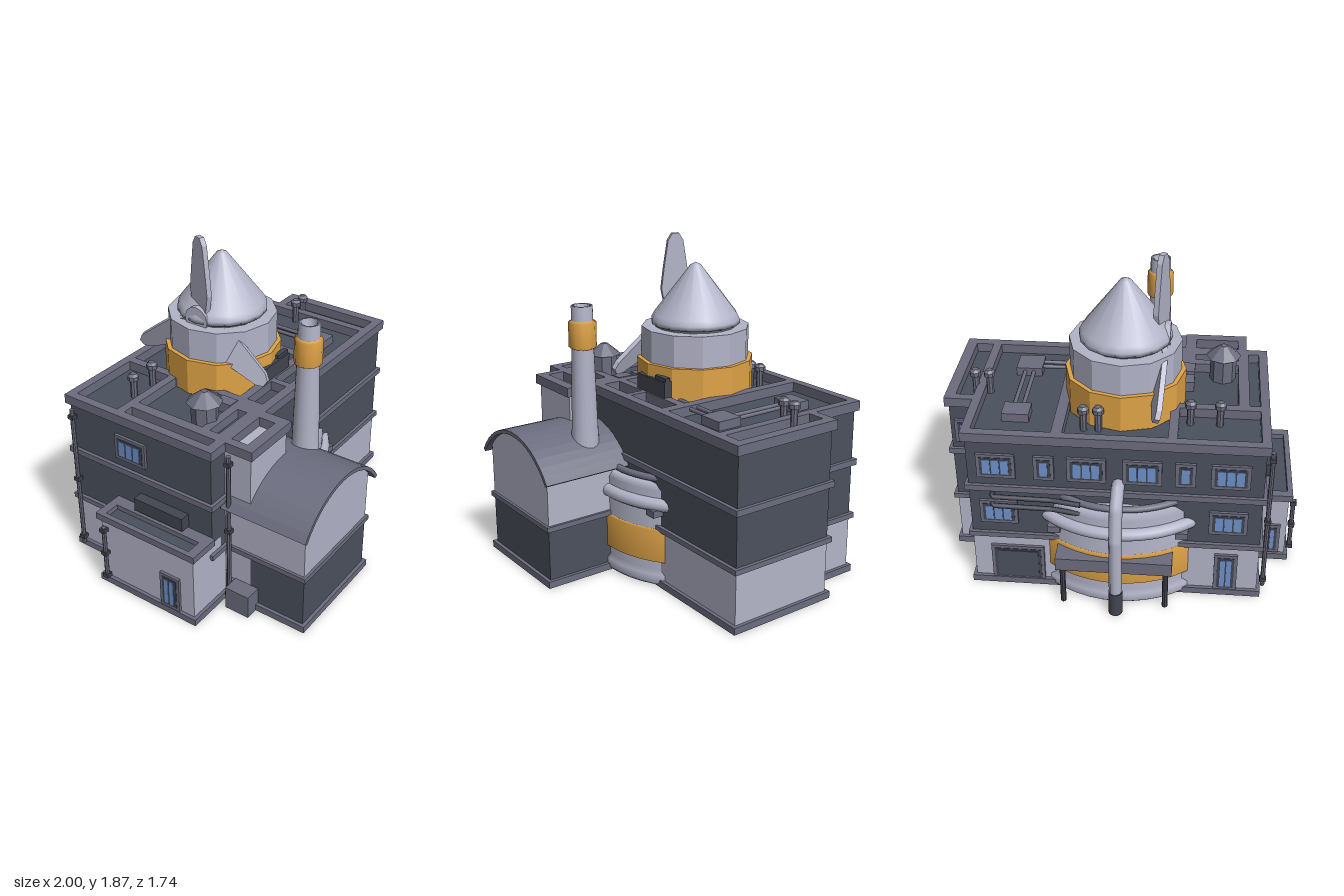
import * as THREE from 'three';

const mat = (name, color) => {
  const m = new THREE.MeshStandardMaterial({ color, side: THREE.DoubleSide });
  m.name = name;
  return m;
};

export function createModel() {
  const light = mat('pale metal', 0xb3b4c8), trim = mat('grey trim', 0x6c6d7f);
  const dark = mat('slate wall', 0x4b515d), gold = mat('ochre band', 0xe0a447);
  const glass = mat('blue glass', 0x6f92cb), black = mat('dark fitting', 0x434651);
  const root = new THREE.Group();
  root.name = 'factory';

  const add = (name, geo, material, x = 0, y = 0, z = 0, parent = root) => {
    const m = new THREE.Mesh(geo, material);
    m.name = name;
    m.position.set(x, y, z);
    parent.add(m);
    return m;
  };
  // box given by its limits
  const box = (name, m, x0, x1, y0, y1, z0, z1, parent = root) =>
    add(name, new THREE.BoxGeometry(x1 - x0, y1 - y0, z1 - z0), m,
      (x0 + x1) / 2, (y0 + y1) / 2, (z0 + z1) / 2, parent);
  const cyl = (name, m, r0, r1, y0, y1, x, z, n = 16) => {
    let g = new THREE.CylinderGeometry(r1, r0, y1 - y0, n);
    if (n < 16) { g = g.toNonIndexed(); g.computeVertexNormals(); }
    return add(name, g, m, x, (y0 + y1) / 2, z);
  };
  const tube = (name, m, pts, r, n = 24) => {
    const path = new THREE.CurvePath();
    const v = pts.map(p => new THREE.Vector3(...p));
    for (let i = 1; i < v.length; i++) path.add(new THREE.LineCurve3(v[i - 1], v[i]));
    return add(name, new THREE.TubeGeometry(path, n, r, 8), m);
  };
  // plan outline of [x, z] points, lifted from y0 to y1
  const plan = (name, m, pts, y0, y1, holes = []) => {
    const vec = a => a.map(([x, z]) => new THREE.Vector2(x, -z));
    const s = new THREE.Shape(vec(pts));
    for (const [a, b, c, d] of holes) s.holes.push(new THREE.Path(vec([[a, c], [a, d], [b, d], [b, c]])));
    const g = new THREE.ExtrudeGeometry(s, { depth: y1 - y0, bevelEnabled: false });
    g.rotateX(-Math.PI / 2);
    return add(name, g, m, 0, y0, 0);
  };

  // main building: three storeys with bands between them
  const outline = e => [[-0.78 - e, -0.63 - e], [0.82 + e, -0.63 - e], [0.82 + e, -0.3 - e],
    [0.98 + e, -0.3 - e], [0.98 + e, 0.335 + e], [-0.78 - e, 0.335 + e]];
  plan('groundStorey', light, outline(0), 0.04, 0.34);
  plan('middleStorey', dark, outline(0), 0.36, 0.66);
  plan('topStorey', dark, outline(0), 0.68, 0.975);
  [[0, 0.04], [0.335, 0.365], [0.655, 0.69]].forEach(([a, b]) => plan('storeyBand', trim, outline(0.02), a, b));

  // stair bay in front, behind the hall
  box('stairBay', light, -0.66, -0.33, 0.04, 0.975, 0.3, 0.5);

  // roof parapet and dividers around sunken panels
  const parapet = [[-0.8, -0.65], [0.84, -0.65], [0.84, -0.32], [1, -0.32], [1, 0.355], [-0.315, 0.355],
    [-0.315, 0.52], [-0.68, 0.52], [-0.68, 0.355], [-0.8, 0.355]];
  plan('roofParapet', trim, parapet, 0.975, 1.03, [
    [-0.75, -0.31, -0.6, -0.31], [-0.63, -0.31, -0.26, 0.17], [-0.75, -0.69, -0.26, 0.3],
    [-0.63, -0.38, 0.22, 0.28], [-0.63, -0.38, 0.36, 0.46], [-0.26, 0.3, -0.6, 0.15],
    [-0.26, -0.03, 0.2, 0.3], [0.01, 0.3, 0.2, 0.3], [0.36, 0.79, -0.6, 0.3], [0.84, 0.94, -0.27, 0.3]]);

  // low side annex
  box('annexWalls', light, -0.95, -0.7, 0.04, 0.43, -0.3, 0.335);
  box('annexBase', trim, -0.97, -0.7, 0, 0.04, -0.32, 0.355);
  plan('annexParapet', trim, [[-0.97, -0.32], [-0.78, -0.32], [-0.78, 0.355], [-0.97, 0.355]], 0.43, 0.47,
    [[-0.94, -0.85, -0.27, 0.3]]);
  box('annexRoof', dark, -0.95, -0.78, 0.42, 0.44, -0.3, 0.335);
  box('annexSkylight', black, -0.84, -0.78, 0.48, 0.56, -0.15, 0.18);

  // barrel-roofed hall
  box('hallBase', trim, -0.68, 0, 0, 0.04, 0.33, 0.86);
  box('hallLowerWall', dark, -0.66, -0.02, 0.04, 0.335, 0.33, 0.84);
  box('hallBand', trim, -0.675, -0.005, 0.335, 0.365, 0.33, 0.855);
  const arch = (r, half, flat) => Array.from({ length: 17 }, (_, i) => {
    const a = (i / 16 * 2 - 1) * half;
    return new THREE.Vector2(-0.34 + Math.sin(a) * r, 0.388 + Math.cos(a) * r);
  });
  const hall = new THREE.Shape([new THREE.Vector2(-0.66, 0.365), ...arch(0.425, 0.853), new THREE.Vector2(-0.02, 0.365)]);
  add('hallUpperWall', new THREE.ExtrudeGeometry(hall, { depth: 0.51, bevelEnabled: false }), light, 0, 0, 0.33);
  const shell = new THREE.Shape([...arch(0.442, 1), ...arch(0.42, 1).reverse()]);
  add('barrelRoof', new THREE.ExtrudeGeometry(shell, { depth: 0.53, bevelEnabled: false }), trim, 0, 0, 0.34);

  // great round tank rising through the building
  const cz = -0.155;
  const lathe = (name, m, pts, x, z, n) => {
    const g = new THREE.LatheGeometry(pts.map(p => new THREE.Vector2(...p)), n);
    return add(name, g, m, x, 0, z);
  };
  lathe('tankBody', light, [[0, 0.004], [0.6, 0.004], [0.615, 0.02], [0.615, 0.07], [0.595, 0.09], [0.595, 0.57], [0.57, 0.6], [0, 0.6]], 0, cz, 48);
  lathe('tankBand', gold, [[0.595, 0.15], [0.615, 0.15], [0.615, 0.34], [0.595, 0.34]], 0, cz, 48);
  const ring = (name, m, r, t, y) => add(name, new THREE.TorusGeometry(r, t, 10, 64).rotateX(Math.PI / 2), m, 0, y, cz);
  ring('tankHoop', light, 0.6, 0.038, 0.49);
  ring('tankRingPipe', trim, 0.555, 0.02, 0.625);
  [[0.32, 0.365], [0.35, -0.665], [-0.35, -0.665]].forEach(([x, z]) =>
    box('pipeClamp', trim, x - 0.035, x + 0.035, 0.43, 0.47, z - 0.035, z + 0.035));
  for (const y of [0.63, 0.57])
    tube('wallPipe', black, [[0.2, y, -0.7], [0.36, y, -0.67], [0.69, y, -0.665], [0.69, y, -0.63]], 0.014);

  // upper tower and cone
  cyl('towerBand', gold, 0.335, 0.335, 0.98, 1.19, 0, cz, 12);
  cyl('towerDrum', light, 0.31, 0.31, 1.19, 1.37, 0, cz, 12);
  cyl('coneNeck', trim, 0.235, 0.235, 1.36, 1.4, 0, cz, 16);
  lathe('cone', light, [[0, 1.385], [0.255, 1.385], [0.255, 1.41], [0.24, 1.44], [0.03, 1.715], [0, 1.73]], 0, cz, 16);

  // three-bladed rotor
  const rotor = new THREE.Group();
  rotor.name = 'rotor';
  rotor.position.set(-0.195, 1.37, cz);
  root.add(rotor);
  const bladeShape = new THREE.Shape([[-0.05, 0], [-0.085, 0.18], [-0.07, 0.3], [-0.045, 0.46], [-0.02, 0.5],
    [0.02, 0.5], [0.045, 0.46], [0.07, 0.3], [0.085, 0.18], [0.05, 0]].map(p => new THREE.Vector2(...p)));
  const bladeGeo = new THREE.ExtrudeGeometry(bladeShape, { depth: 0.03, bevelEnabled: false });
  bladeGeo.translate(0, 0, -0.015).rotateY(Math.PI / 2 - 0.35);
  for (let i = 0; i < 3; i++) add('blade', bladeGeo, light, 0, 0, 0, rotor).rotation.x = i * Math.PI * 2 / 3;
  add('rotorHub', new THREE.CylinderGeometry(0.075, 0.075, 0.1, 12).rotateZ(Math.PI / 2), light, 0, 0.03, 0, rotor);

  // chimney
  lathe('chimney', light, [[0.08, 0.72], [0.075, 0.85], [0.062, 1.3], [0.06, 1.54], [0.042, 1.54], [0.042, 1.42], [0, 1.42]], -0.15, 0.51, 16);
  lathe('chimneyBand', gold, [[0.06, 1.3], [0.077, 1.31], [0.077, 1.45], [0.06, 1.46]], -0.15, 0.51, 12);

  // roof fittings
  [[0.77, -0.15], [0.85, -0.15], [0.12, -0.48], [0.2, -0.48], [-0.53, -0.38], [-0.37, -0.38]].forEach(([x, z]) => {
    cyl('ventStem', trim, 0.02, 0.02, 0.97, 1.09, x, z, 8);
    cyl('ventCap', trim, 0.032, 0.032, 1.085, 1.11, x, z, 8);
    cyl('ventTop', trim, 0.032, 0.018, 1.11, 1.125, x, z, 8);
  });
  cyl('turretVent', trim, 0.075, 0.075, 0.97, 1.125, -0.54, 0.12, 8);
  cyl('turretVentCap', trim, 0.1, 0.02, 1.125, 1.19, -0.54, 0.12, 8);
  box('roofUnit', trim, 0.505, 0.655, 0.97, 1.025, 0.045, 0.195);
  box('roofUnit', trim, 0.505, 0.655, 0.97, 1.025, -0.44, -0.32);
  for (const d of [0, 0.05]) {
    tube('roofPipe', trim, [[0.555 + d, 1, -0.34], [0.555 + d, 1, 0.08]], 0.012, 2);
    tube('roofPipe', trim, [[0.15, 1.01, 0.1 + d], [0.52, 1.01, 0.1 + d]], 0.012, 2);
  }
  box('controlPanel', black, -0.09, 0.17, 1, 1.12, 0.14, 0.19);
  box('controlPanelTop', black, 0.07, 0.17, 1.12, 1.14, 0.15, 0.18);
  box('roofHatch', trim, -0.38, -0.31, 0.97, 1.035, -0.05, 0.04);
  box('roofHatch', trim, -0.38, -0.31, 0.97, 1.035, 0.07, 0.17);

  // back canopy on posts
  box('canopy', trim, -0.305, 0.335, 0.25, 0.33, -0.8, -0.63);
  for (const x of [-0.27, 0.3]) cyl('canopyPost', black, 0.016, 0.016, 0, 0.25, x, -0.765, 8);

  // outside flue at the back
  tube('backFlue', light, [[0, 0.735, -0.6], [0, 0.73, -0.67], [0, 0.67, -0.78], [0, 0.5, -0.832], [0, 0, -0.832]], 0.036, 60);
  cyl('flueFoot', black, 0.039, 0.039, 0, 0.15, 0, -0.832, 16);

  // drainpipes and the box beside the hall
  const drain = (x, z, y0, y1) => {
    cyl('drainpipe', trim, 0.013, 0.013, y0, y1, x, z, 8);
    for (const t of [0.05, 0.5, 0.95]) {
      const y = y0 + (y1 - y0) * t;
      box('pipeBracket', black, x - 0.018, x + 0.018, y - 0.012, y + 0.012, z - 0.018, z + 0.018);
    }
  };
  drain(-0.815, -0.59, 0.04, 0.96);
  drain(-0.98, -0.26, 0.05, 0.4);
  drain(-0.69, 0.38, 0, 0.96);
  box('utilityBox', trim, -0.755, -0.66, 0, 0.14, 0.4, 0.55);

  // framed openings; turn 0 faces the back, 1 faces the right-hand side wall
  const opening = (name, x, y, z, w, h, panes, turn = 0, fill = glass) => {
    const g = new THREE.Group();
    g.name = name;
    g.position.set(x, y, z);
    g.rotation.y = turn ? -Math.PI / 2 : Math.PI;
    root.add(g);
    box('frame', trim, -w / 2, w / 2, -h / 2, h / 2, -0.01, 0.016, g);
    box('recess', black, -w / 2 + 0.018, w / 2 - 0.018, -h / 2 + 0.018, h / 2 - 0.018, 0.012, 0.019, g);
    const pw = (w - 0.06) / panes;
    for (let i = 0; i < panes; i++) {
      const x0 = -w / 2 + 0.03 + i * pw;
      box('pane', fill, x0 + 0.004, x0 + pw - 0.004, -h / 2 + 0.03, h / 2 - 0.03, 0.017, 0.023, g);
    }
  };
  for (const x of [0.66, 0.17, -0.13, -0.6]) opening('wideWindow', x, 0.82, -0.63, 0.21, 0.15, 3);
  for (const x of [0.4, -0.36]) opening('narrowWindow', x, 0.82, -0.63, 0.11, 0.15, 1);
  for (const x of [0.66, -0.6]) opening('wideWindow', x, 0.51, -0.63, 0.21, 0.15, 3);
  opening('stepWindow', 0.9, 0.81, -0.3, 0.11, 0.15, 1);
  opening('sideWindow', -0.78, 0.82, -0.2, 0.21, 0.15, 3, 1);
  opening('garageDoor', 0.57, 0.15, -0.63, 0.3, 0.24, 1, 0, dark);
  opening('backDoor', -0.6, 0.16, -0.63, 0.13, 0.25, 2);
  opening('annexDoor', -0.95, 0.15, 0.18, 0.13, 0.22, 2, 1);
  opening('annexBackDoor', -0.87, 0.15, -0.3, 0.09, 0.2, 1);
  return root;
}
